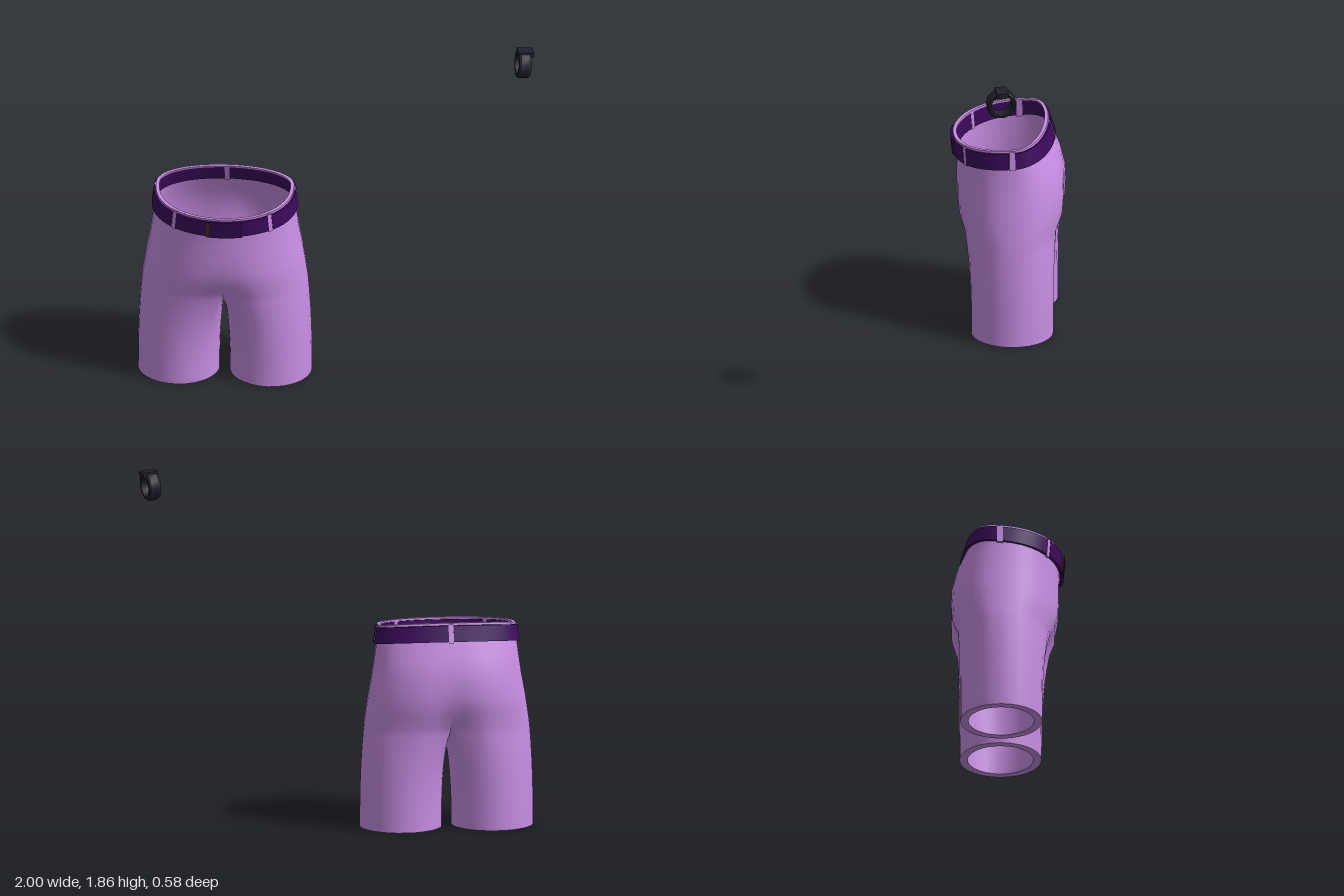
import * as THREE from 'three';
import { toCreasedNormals } from 'three/addons/utils/BufferGeometryUtils.js';

const mat = (name, color, side = THREE.DoubleSide) => {
  const m = new THREE.MeshStandardMaterial({ color, side });
  m.name = name;
  return m;
};

// Torso cross-sections: [front y, back y, half width, front z, back z, front dip, back dip]
const LEVELS = [
  [0.54, 0.54, 0.418, 0.238, -0.268, 0.05, 0.06],
  [0.60, 0.61, 0.408, 0.258, -0.294, 0.02, 0.04],
  [0.68, 0.70, 0.395, 0.263, -0.298, 0.005, 0.025],
  [0.77, 0.79, 0.378, 0.263, -0.292, 0, 0.015],
  [0.85, 0.89, 0.365, 0.263, -0.265, 0, 0.008],
  [0.90, 0.97, 0.357, 0.265, -0.225, 0, 0],
  [1.01, 1.07, 0.343, 0.275, -0.192, 0, 0],
];
const WAIST = LEVELS.length - 2;
const lerp = THREE.MathUtils.lerp;

// Point on a torso section; a = 0 is front centre, PI/2 is the left side
function section([yF, yB, w, f, b, dipF, dipB], a, off = 0) {
  const c = Math.cos(a), x = w * Math.sin(a), zc = -0.04;
  const dip = Math.exp(-((x / 0.1) ** 2));
  const z = c > 0
    ? zc + (f - zc) * c ** 0.85 - dipF * dip
    : zc + (b - zc) * Math.abs(c) ** 0.8 + dipB * dip;
  return [x + off * Math.sin(a), lerp(yF, yB, (1 - c) / 2), z + off * c];
}

// Skin a list of equally long rings into a triangle list
function skin(rings, out = [], flip = false) {
  for (let j = 0; j < rings.length - 1; j++) {
    for (let i = 0; i < rings[j].length - 1; i++) {
      const a = rings[j][i], b = rings[j][i + 1], c = rings[j + 1][i + 1], d = rings[j + 1][i];
      out.push(...(flip ? [a, c, b, a, d, c] : [a, b, c, a, c, d]));
    }
  }
  return out;
}

function toGeometry(points, crease = 0.8) {
  const g = new THREE.BufferGeometry();
  g.setAttribute('position', new THREE.Float32BufferAttribute(points.flat(), 3));
  return toCreasedNormals(g, crease);
}

// Thin closed strip following the waist between two angles and two heights (0..1)
function waistStrip(a0, a1, v0, v1, inner, outer) {
  const n = Math.max(2, Math.ceil((a1 - a0) / 0.12));
  const at = (a, v, off) => {
    const L = LEVELS[WAIST].map((p, k) => lerp(p, LEVELS[WAIST + 1][k], v));
    return section(L, a, off);
  };
  const corners = [[v0, 1], [v1, 1], [v1, 0], [v0, 0], [v0, 1]];
  const rings = corners.map(([v, o]) => {
    const ring = [];
    for (let i = -1; i <= n + 1; i++) {
      const a = lerp(a0, a1, THREE.MathUtils.clamp(i / n, 0, 1));
      const capped = i < 0 || i > n; // collapsed ends close the strip
      ring.push(at(a, v, o && !capped ? outer : inner));
    }
    return ring;
  });
  return toGeometry(skin(rings), 0.6);
}

// One trouser leg, from the inner hem fold up to the crotch seam
function legRings() {
  const M = 20, K = 12, spread = 0.7;
  const top = [], angles = [];
  for (let i = 0; i <= M; i++) {
    top.push(section(LEVELS[0], Math.PI * i / M));
    angles.push(lerp(-spread, Math.PI + spread, i / M));
  }
  const front = top[0], back = top[M];
  for (let k = 1; k <= K; k++) {
    const w = k / K;
    top.push([0, 0.54 - 0.1 * Math.max(0, Math.sin(Math.PI * w)) ** 0.7, lerp(back[2], front[2], w)]);
    angles.push(lerp(Math.PI + spread, 2 * Math.PI - spread, w));
  }
  const hem = (r, y) => angles.map(a => [0.2325 + r * Math.sin(a), y, -0.03 + r * Math.cos(a)]);
  const rings = [hem(0.196, 0.28), hem(0.166, 0.005), hem(0.2075, 0.005)];
  for (let j = 1; j <= 12; j++) {
    const t = j / 12, e = t ** 2.5;
    rings.push(hem(0.2075, 0.005).map((p, i) =>
      [lerp(p[0], top[i][0], e), lerp(p[1], top[i][1], t), lerp(p[2], top[i][2], e)]));
  }
  return rings;
}

export function createModel() {
  const model = new THREE.Group();
  const cloth = mat('lilac cloth', 0xc88ee4);
  const purple = mat('dark purple belt', 0x3c0a5c);
  const buckleMat = mat('deep purple buckle', 0x330850);
  const brown = mat('brown trim', 0x4a2836);
  const black = mat('black band', 0x20202b);
  const add = (parent, name, geo, m) => {
    const mesh = new THREE.Mesh(geo, m);
    mesh.name = name;
    parent.add(mesh);
    return mesh;
  };

  // Shorts
  const shorts = new THREE.Group();
  shorts.name = 'shorts';
  shorts.position.x = -0.56;
  model.add(shorts);
  const N = 40;
  const tris = skin(LEVELS.map(L =>
    Array.from({ length: N + 1 }, (_, i) => section(L, 2 * Math.PI * i / N))));
  const rings = legRings();
  skin(rings, tris);
  skin(rings.map(r => r.map(([x, y, z]) => [-x, y, z])), tris, true);
  add(shorts, 'shortsBody', toGeometry(tris), cloth);
  add(shorts, 'waistRim', waistStrip(0, 2 * Math.PI, 0.9, 1.0, -0.012, 0.006), cloth);

  // Belt pieces between the loops
  const loops = [0.735, Math.PI / 2, Math.PI];
  const gap = 0.035;
  const spans = [[0, loops[0] - gap], [loops[0] + gap, loops[1] - gap], [loops[1] + gap, loops[2] - gap]];
  for (const [a, b] of spans) {
    add(shorts, 'beltLeft', waistStrip(a, b, 0.1, 0.88, -0.008, 0.014), purple);
    add(shorts, 'beltRight', waistStrip(-b, -a, 0.1, 0.88, -0.008, 0.014), purple);
  }
  // Belt loops
  for (const a of [...loops, -loops[0], -loops[1]]) {
    add(shorts, 'beltLoop', waistStrip(a - gap, a + gap, 0.04, 0.95, -0.01, 0.012), cloth);
  }
  // Buckle and its trim
  add(shorts, 'buckle', waistStrip(-0.2, 0.28, 0.07, 0.9, 0.005, 0.021), buckleMat);
  add(shorts, 'buckleTrim', waistStrip(-0.22, -0.16, 0.12, 0.86, 0.01, 0.023), brown);

  // Wristband with a raised block on top
  const band = new THREE.Group();
  band.name = 'wristband';
  band.position.set(0.944, 1.785, -0.04);
  band.rotation.set(0, 0.22, -0.1);
  model.add(band);
  const profile = [[0.068, -0.032], [0.075, -0.02], [0.075, 0.02], [0.068, 0.032],
    [0.055, 0.032], [0.05, 0], [0.055, -0.032], [0.068, -0.032]].map(p => new THREE.Vector2(...p));
  const ring = new THREE.LatheGeometry(profile, 14).rotateZ(Math.PI / 2);
  add(band, 'bandRing', toCreasedNormals(ring, 0.5), black);
  const block = add(band, 'bandBlock', new THREE.BoxGeometry(0.08, 0.026, 0.06), black);
  block.position.set(0.004, 0.063, 0);
  return model;
}
